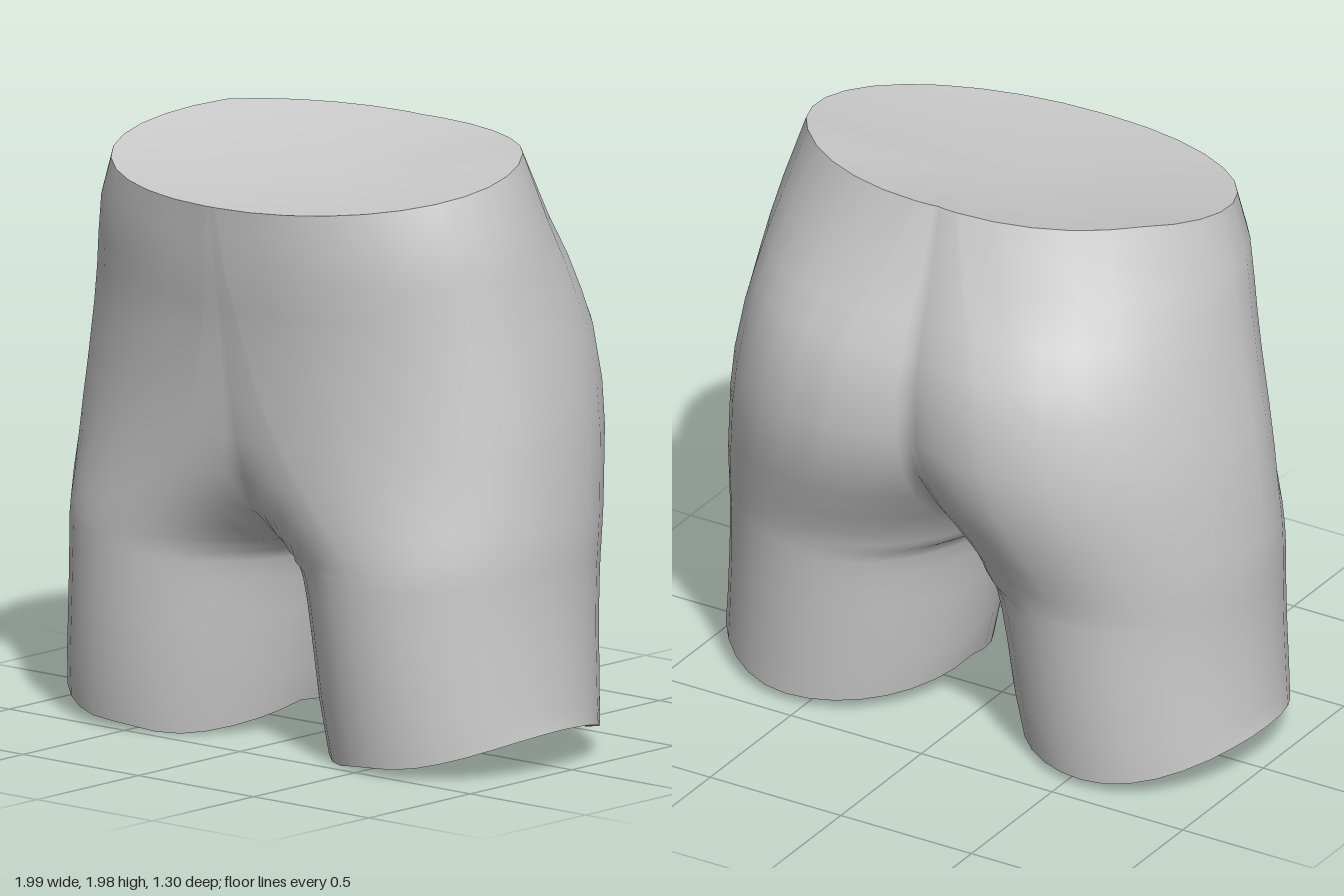
import * as THREE from 'three';
import { mergeVertices } from 'three/addons/utils/BufferGeometryUtils.js';

const H = 8; // steps per quarter of a ring

// Legs: height, outer x, inner x, lobe x, front z, side z, back z
const legRows = [
  [0.00, 0.995, 0.14, 0.565, 0.495, 0.04, -0.425],
  [0.20, 0.983, 0.11, 0.547, 0.52, 0.043, -0.445],
  [0.40, 0.970, 0.085, 0.528, 0.532, 0.046, -0.465],
  [0.52, 0.966, 0.066, 0.517, 0.537, 0.048, -0.478],
  [0.59, 0.965, 0.047, 0.510, 0.539, 0.049, -0.487],
  [0.625, 0.965, 0.028, 0.507, 0.540, 0.05, -0.492],
  [0.64, 0.965, 0, 0.505, 0.540, 0.05, -0.494],
].map(([y, xo, xi, c, zf, zm, zb]) => {
  const half = { c, inner: c - xi, end: Math.PI };
  return { y, xo, zf, zm, zb, front: half, back: half };
});

// Hips: height, outer x, front z, side z, back z, then for front and back
// the x of the lobe and the depth of the groove between lobes (0 to 1)
const hipRows = [
  [0.67, 0.965, 0.541, 0.051, -0.500, 0.500, 0.94, 0.502, 0.97],
  [0.72, 0.965, 0.543, 0.053, -0.513, 0.475, 0.82, 0.490, 0.92],
  [0.80, 0.963, 0.546, 0.055, -0.542, 0.420, 0.60, 0.455, 0.82],
  [0.92, 0.952, 0.551, 0.06, -0.588, 0.320, 0.37, 0.400, 0.65],
  [1.05, 0.940, 0.560, 0.065, -0.630, 0.230, 0.23, 0.355, 0.52],
  [1.20, 0.920, 0.570, 0.07, -0.652, 0.150, 0.15, 0.320, 0.44],
  [1.38, 0.885, 0.588, 0.08, -0.643, 0.100, 0.10, 0.295, 0.41],
  [1.50, 0.862, 0.605, 0.09, -0.605, 0.070, 0.07, 0.265, 0.38],
  [1.62, 0.840, 0.628, 0.10, -0.555, 0.050, 0.05, 0.225, 0.33],
  [1.75, 0.815, 0.640, 0.115, -0.49, 0.035, 0.03, 0.160, 0.25],
  [1.93, 0.755, 0.650, 0.13, -0.405, 0.020, 0.02, 0.080, 0.14],
].map(([y, xo, zf, zm, zb, cf, kf, cb, kb]) => {
  const half = (c, k) => ({ c, inner: c / k, end: Math.acos(-k) });
  return { y, xo, zf, zm, zb, front: half(cf, kf), back: half(cb, kb) };
});
const rows = [...legRows, ...hipRows];

const waistHeight = (z) => Math.min(1.98, 1.84 + 0.17 * (0.65 - z));

// Hem: high on the outer side, lowest at the inner front
function hemHeight(t) {
  const s = Math.sin(t), d = Math.abs(s);
  if (Math.cos(t) > 0) return 0.14 - (s > 0 ? 0.115 : 0.11) * d * d;
  return s > 0 ? 0.08 - 0.1 * d + 0.045 * d ** 12 : 0.08 - 0.05 * d;
}

// One ring of the left half, from inner back around the outside to inner front.
// Above the crotch the ring stops where it meets the middle plane.
function ring({ y, xo, zf, zm, zb, front, back }, i) {
  const points = [];
  for (let j = -2 * H; j <= 2 * H; j++) {
    const { c, inner, end } = j < 0 ? back : front;
    const q = Math.abs(j) / H;
    const angle = q <= 1 ? q * Math.PI / 2 : Math.PI / 2 + (q - 1) * (end - Math.PI / 2);
    const t = Math.sign(j) * angle;
    const x = c + (q <= 1 ? xo - c : inner) * Math.cos(t);
    const z = zm + Math.sin(angle) * ((j < 0 ? zb : zf) - zm);
    const height = i === 0 ? hemHeight(t) : i === rows.length - 1 ? waistHeight(z) : y;
    points.push([Math.max(0, x), height, z]);
  }
  return points;
}

function makeMesh(name, positions, material) {
  let geometry = new THREE.BufferGeometry();
  geometry.setAttribute('position', new THREE.Float32BufferAttribute(positions, 3));
  geometry = mergeVertices(geometry, 1e-4);
  geometry.computeVertexNormals();
  const mesh = new THREE.Mesh(geometry, material);
  mesh.name = name;
  return mesh;
}

export function createModel() {
  const group = new THREE.Group();
  group.name = 'hipsAndThighs';
  const material = new THREE.MeshStandardMaterial({ color: 0xcccccc, side: THREE.DoubleSide });
  const rings = rows.map(ring);
  const flip = ([x, y, z]) => [-x, y, z];

  // Skin: both halves welded along the middle
  const skin = [];
  const addTriangle = (a, b, c) => {
    skin.push(...a, ...b, ...c, ...flip(a), ...flip(c), ...flip(b));
  };
  for (let i = 0; i < rings.length - 1; i++) {
    for (let j = 0; j < 4 * H; j++) {
      const a = rings[i][j], b = rings[i][j + 1], c = rings[i + 1][j], d = rings[i + 1][j + 1];
      addTriangle(a, c, b);
      addTriangle(b, c, d);
    }
  }
  group.add(makeMesh('body', skin, material));

  // Waist cap: shallow dish
  const rim = rings[rings.length - 1];
  const waist = [];
  const dish = [0, 1.85, 0.1];
  for (let j = 0; j < 4 * H; j++) {
    waist.push(...dish, ...rim[j + 1], ...rim[j]);
    waist.push(...dish, ...flip(rim[j]), ...flip(rim[j + 1]));
  }
  group.add(makeMesh('waistCap', waist, material));

  // Leg caps
  const hem = rings[0];
  const middle = [0.565, 0.1, 0.04];
  const left = [], right = [];
  for (let j = 0; j < 4 * H; j++) {
    left.push(...middle, ...hem[j], ...hem[j + 1]);
    right.push(...flip(middle), ...flip(hem[j + 1]), ...flip(hem[j]));
  }
  group.add(makeMesh('leftLegCap', left, material), makeMesh('rightLegCap', right, material));
  return group;
}
